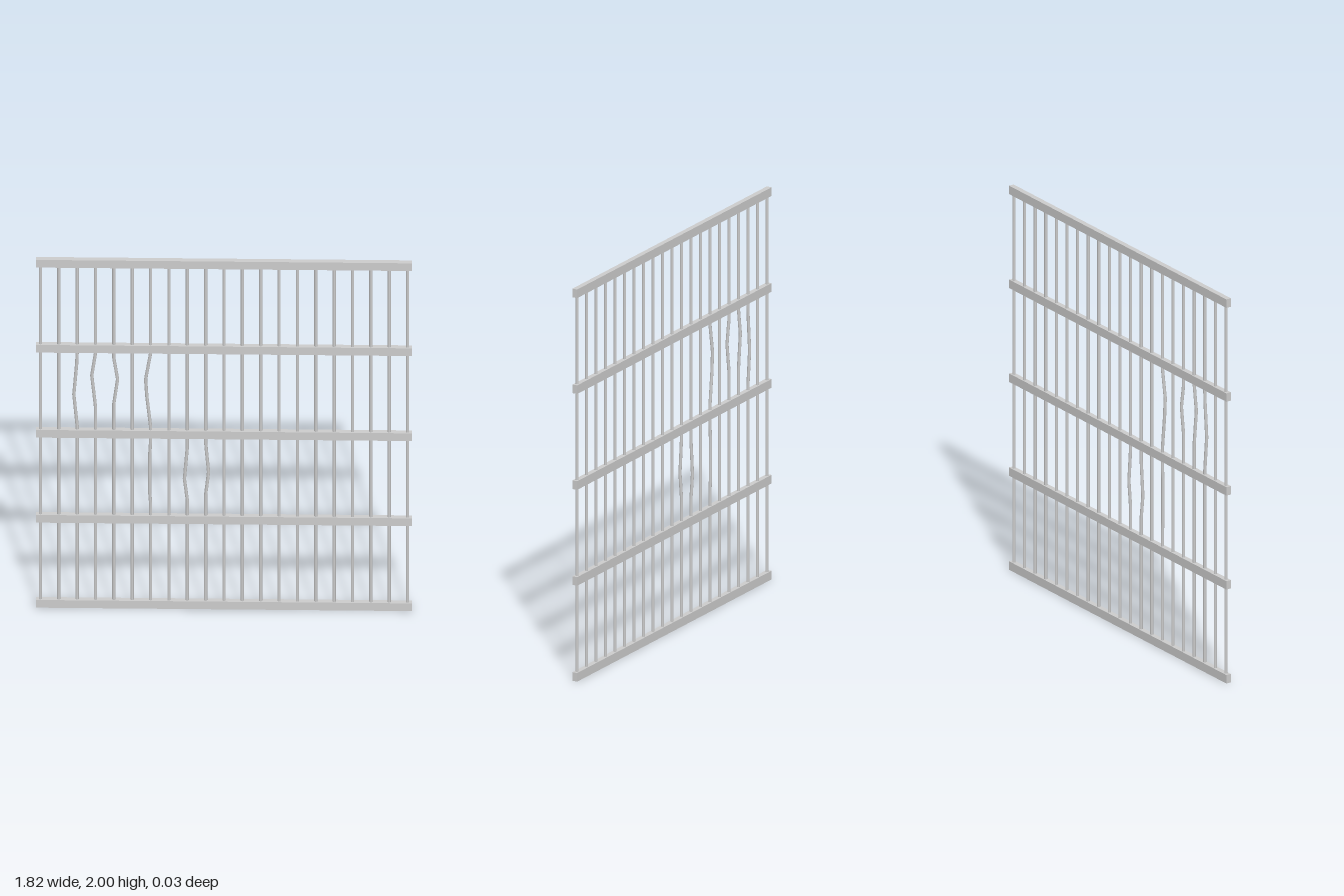
import * as THREE from 'three';

const RAIL = { width: 1.82, height: 0.044, depth: 0.027 };
const BAR_RADIUS = 0.008;
const BAR_COUNT = 21;
const BAR_SPACING = 0.0888;

// Dents per bar index: [height, sideways shift], listed from the bottom up
const DENTS = {
  2: [[1.04, 0], [1.22, -0.016], [1.40, -0.002], [1.46, 0]],
  3: [[1.15, 0], [1.33, -0.018], [1.46, 0]],
  4: [[1.17, 0], [1.31, 0.018], [1.43, 0]],
  6: [[0.6, 0], [0.66, -0.004], [0.88, -0.004], [0.95, 0], [1.04, 0], [1.21, -0.018], [1.31, -0.024], [1.46, 0]],
  8: [[0.62, 0], [0.74, -0.014], [0.92, 0]],
  9: [[0.65, 0], [0.78, 0.014], [0.95, 0]],
};

// A straight bar whose rings are moved to the given heights and shifts
function barGeometry(dents = []) {
  const rings = [[0.02, 0], ...dents, [1.98, 0]];
  const segments = rings.length - 1;
  const geometry = new THREE.CylinderGeometry(BAR_RADIUS, BAR_RADIUS, 1, 8, segments);
  const pos = geometry.attributes.position;
  for (let i = 0; i < pos.count; i++) {
    const [y, shift] = rings[Math.round((pos.getY(i) + 0.5) * segments)];
    pos.setXYZ(i, pos.getX(i) + shift, y, pos.getZ(i));
  }
  geometry.computeVertexNormals();
  return geometry;
}

export function createModel() {
  const model = new THREE.Group();
  model.name = 'barredPanel';
  const material = new THREE.MeshStandardMaterial({ color: 0xcccccc });

  // Five horizontal rails
  const rails = new THREE.Group();
  rails.name = 'rails';
  const railGeometry = new THREE.BoxGeometry(RAIL.width, RAIL.height, RAIL.depth);
  for (let i = 0; i < 5; i++) {
    const rail = new THREE.Mesh(railGeometry, material);
    rail.name = `rail${i + 1}`;
    rail.position.y = RAIL.height / 2 + (i * (2 - RAIL.height)) / 4;
    rails.add(rail);
  }

  // Vertical bars, a few of them bent
  const bars = new THREE.Group();
  bars.name = 'bars';
  const straight = barGeometry();
  for (let i = 0; i < BAR_COUNT; i++) {
    const bar = new THREE.Mesh(DENTS[i] ? barGeometry(DENTS[i]) : straight, material);
    bar.name = DENTS[i] ? `bentBar${i + 1}` : `bar${i + 1}`;
    bar.position.x = (i - (BAR_COUNT - 1) / 2) * BAR_SPACING;
    bars.add(bar);
  }

  model.add(rails, bars);
  return model;
}
